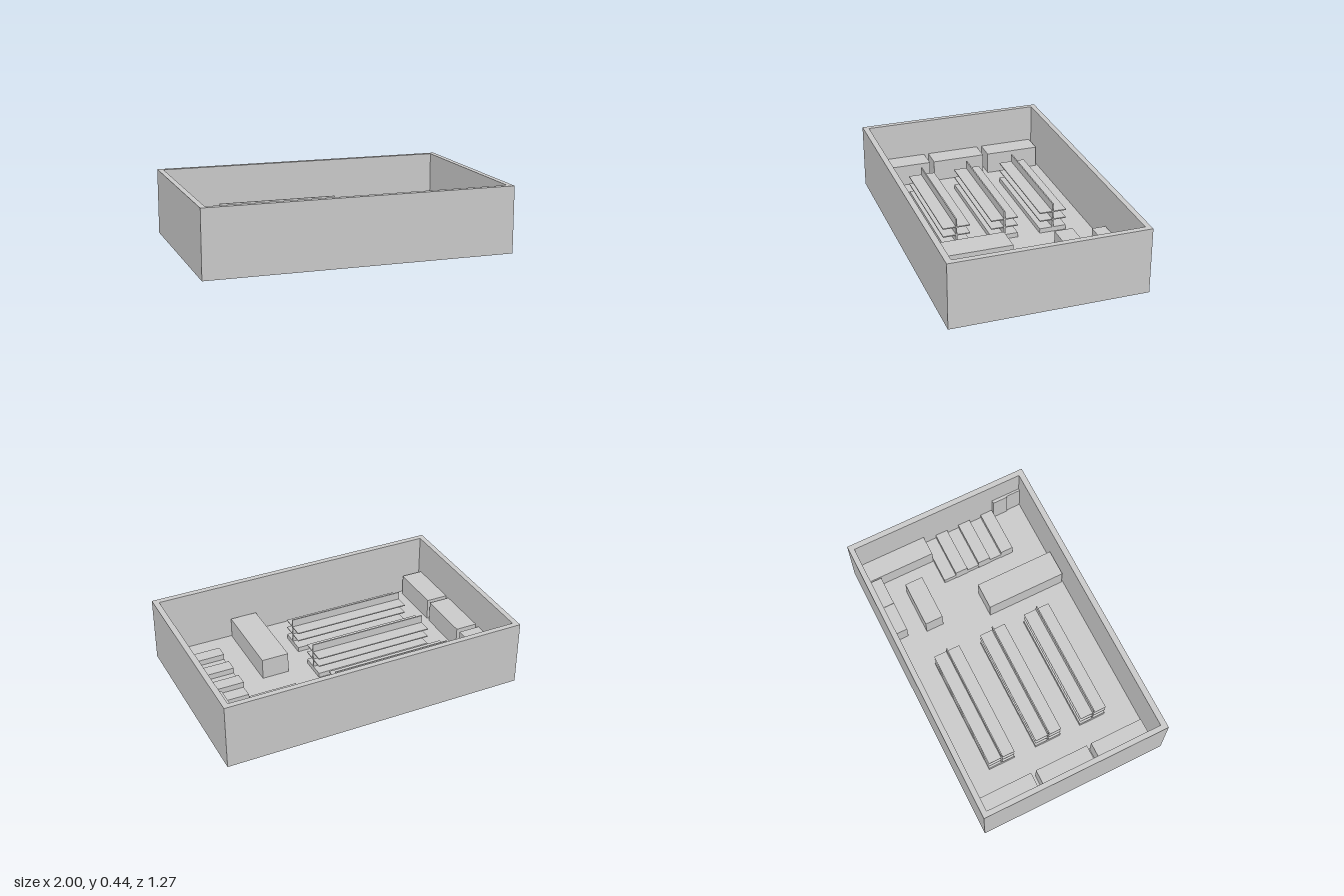
import * as THREE from 'three';

const FLOOR = 0.035;
const material = new THREE.MeshStandardMaterial({ color: 0xcccccc, flatShading: true });

// Box given by its extents along each axis
function box(parent, name, [x0, x1], [y0, y1], [z0, z1]) {
  const mesh = new THREE.Mesh(new THREE.BoxGeometry(x1 - x0, y1 - y0, z1 - z0), material);
  mesh.position.set((x0 + x1) / 2, (y0 + y1) / 2, (z0 + z1) / 2);
  mesh.name = name;
  parent.add(mesh);
  return mesh;
}

function rect(path, x0, x1, y0, y1) {
  return path.moveTo(x0, y0).lineTo(x1, y0).lineTo(x1, y1).lineTo(x0, y1).closePath();
}

// Double-sided display shelf: base, back panel and two tiers
function displayShelf(z) {
  const group = new THREE.Group();
  group.name = 'displayShelf';
  const x = [-0.65, 0.15], depth = [-0.09, 0.09];
  box(group, 'shelfBase', x, [FLOOR, 0.067], depth);
  box(group, 'shelfPanel', x, [0.067, 0.235], [-0.004, 0.004]);
  for (const y of [0.125, 0.182]) box(group, 'shelfTier', x, [y - 0.007, y], depth);
  group.position.z = z;
  return group;
}

export function createModel() {
  const model = new THREE.Group();
  model.name = 'storeRoom';

  // Room shell: floor slab and a ring of walls
  box(model, 'floor', [-1, 1], [0, FLOOR], [-0.635, 0.635]);
  const ring = rect(new THREE.Shape(), -1, 1, -0.635, 0.635);
  ring.holes.push(rect(new THREE.Path(), -0.965, 0.963, -0.597, 0.6));
  const wallGeometry = new THREE.ExtrudeGeometry(ring, { depth: 0.435 - FLOOR, bevelEnabled: false });
  wallGeometry.rotateX(-Math.PI / 2);
  const walls = new THREE.Mesh(wallGeometry, material);
  walls.position.y = FLOOR;
  walls.name = 'walls';
  model.add(walls);

  // Cabinets along the right-hand wall
  for (const z of [[-0.585, -0.22], [-0.185, 0.177], [0.208, 0.567]])
    box(model, 'wallCabinet', [-0.965, -0.82], [FLOOR, 0.18], z);

  // Rows of display shelves
  for (const z of [-0.34, -0.008, 0.315]) model.add(displayShelf(z));

  // Counters and free-standing units
  box(model, 'longCounter', [0.3, 0.48], [FLOOR, 0.175], [0.05, 0.588]);
  box(model, 'island', [0.385, 0.7], [FLOOR, 0.17], [-0.38, -0.258]);
  for (const x of [[0.413, 0.617], [0.619, 0.82]])
    box(model, 'backUnit', x, [FLOOR, 0.16], [-0.595, -0.503]);
  box(model, 'sideCounter', [0.828, 0.963], [FLOOR, 0.16], [-0.597, -0.122]);

  // Alternating low and high benches
  for (let i = 0; i < 3; i++) {
    const z = -0.12 + i * 0.17;
    box(model, 'lowBench', [0.648, 0.96], [FLOOR, 0.075], [z, z + 0.085]);
    box(model, 'highBench', [0.646, 0.96], [FLOOR, 0.113], [z + 0.085, z + 0.17]);
  }

  // Pair of overlapping door leaves
  box(model, 'doorLeaf', [0.942, 0.963], [FLOOR, 0.243], [0.395, 0.497]);
  box(model, 'doorLeaf', [0.949, 0.963], [FLOOR, 0.243], [0.497, 0.597]);

  return model;
}
